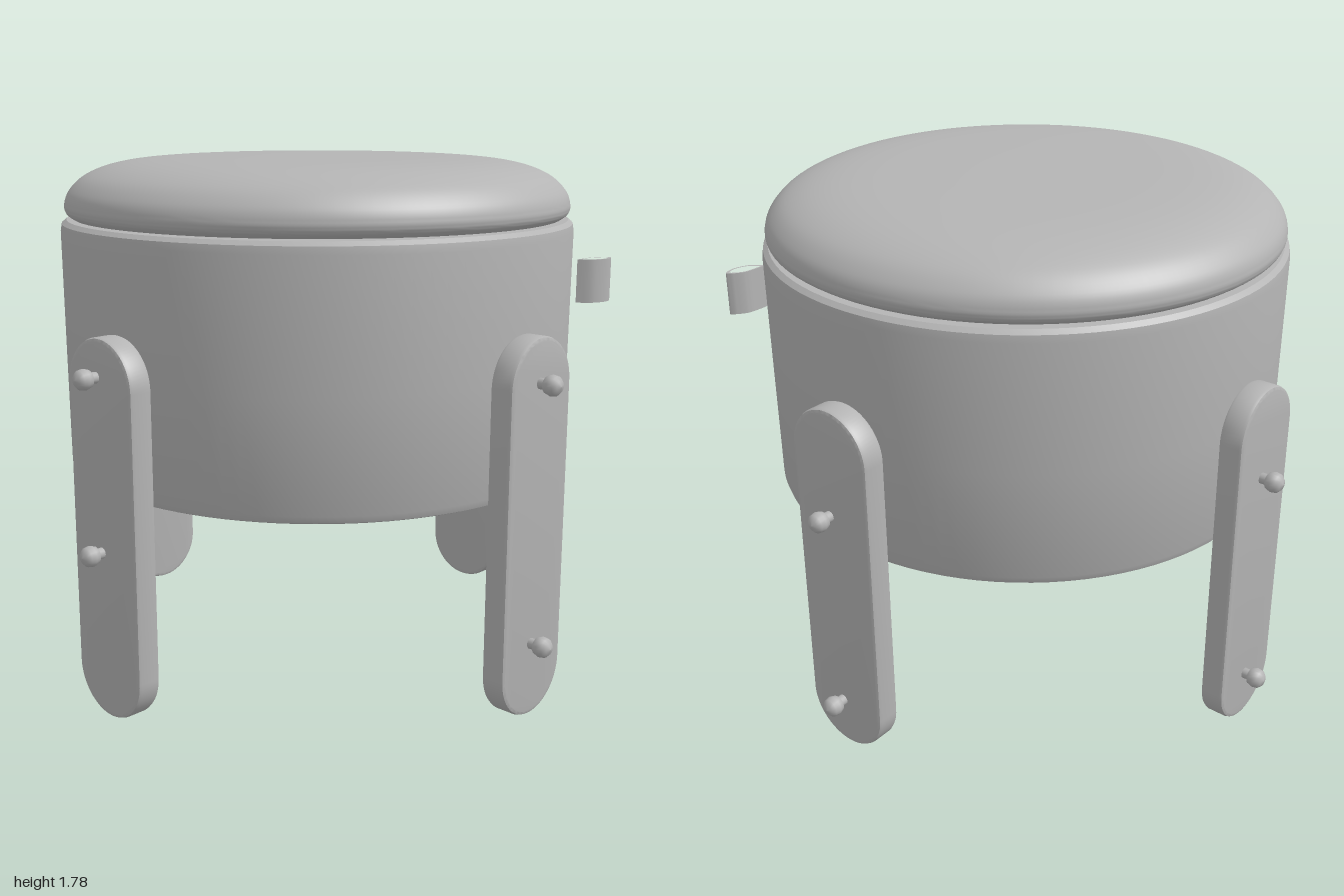
import * as THREE from 'three';
import { toCreasedNormals } from 'three/addons/utils/BufferGeometryUtils.js';

const v2 = (p) => p.map(([x, y]) => new THREE.Vector2(x, y));

export function createModel() {
  const model = new THREE.Group();
  const grey = new THREE.MeshStandardMaterial({ color: 0xb4b4b4 });
  grey.name = 'plain grey';

  const add = (parent, name, geometry, x = 0, y = 0, z = 0) => {
    const mesh = new THREE.Mesh(geometry, grey);
    mesh.name = name;
    mesh.position.set(x, y, z);
    parent.add(mesh);
    return mesh;
  };

  // Round drum with slightly softened rims
  const drum = new THREE.LatheGeometry(v2([
    [0, 0.71], [0.855, 0.71], [0.872, 0.717], [0.88, 0.74], [0.884, 1.1],
    [0.888, 1.53], [0.884, 1.555], [0.868, 1.568], [0, 1.568],
  ]), 96);
  add(model, 'drum', toCreasedNormals(drum, 0.6));

  // Padded seat, bulging at the rim and nearly flat on top
  const padCurve = new THREE.SplineCurve(v2([
    [0.845, 1.572], [0.868, 1.59], [0.873, 1.62], [0.855, 1.665], [0.8, 1.715],
    [0.7, 1.752], [0.55, 1.771], [0.3, 1.778], [0, 1.78],
  ]));
  const padProfile = [new THREE.Vector2(0, 1.572), ...padCurve.getPoints(40)];
  padProfile[padProfile.length - 1].x = 0;
  add(model, 'cushion', toCreasedNormals(new THREE.LatheGeometry(padProfile, 96), 0.7));

  // Leg plank: rounded ends, bevelled edges, outward along local z
  const bevel = 0.012, r = 0.157 - bevel, top = 1.255 - 0.157, bottom = 0.157;
  const outline = new THREE.Shape();
  outline.absarc(0, top, r, 0, Math.PI, false);
  outline.absarc(0, bottom, r, Math.PI, Math.PI * 2, false);
  outline.closePath();
  const plank = toCreasedNormals(new THREE.ExtrudeGeometry(outline, {
    depth: 0.084 - 2 * bevel, bevelEnabled: true, bevelSize: bevel,
    bevelThickness: bevel, bevelSegments: 2, curveSegments: 20,
  }).translate(0, 0, bevel), 0.5);

  // Rounded bolt: short stem ending in a ball
  const bolt = new THREE.LatheGeometry(v2([
    [0, -0.05], [0.018, -0.05], [0.018, 0.015], [0.028, 0.022], [0.034, 0.04],
    [0.031, 0.058], [0.019, 0.07], [0, 0.075],
  ]), 20).rotateX(Math.PI / 2);

  // Four legs round the drum, each with its own bolt heights
  const legs = [
    ['frontLeg', [1.13, 0.56]], ['leftLeg', [1.11, 0.25]],
    ['backLeg', [0.885, 0.17]], ['rightLeg', [0.945, 0.175]],
  ];
  legs.forEach(([name, heights], i) => {
    const leg = new THREE.Group();
    leg.name = name;
    leg.rotation.y = -0.368 + i * Math.PI / 2;
    add(leg, 'plank', plank, 0, 0, 0.887);
    heights.forEach((y) => add(leg, 'bolt', bolt, -0.012, y, 0.975));
    model.add(leg);
  });

  // Small upright fabric loop on the left side
  const loop = new THREE.SplineCurve(v2([
    [0.875, 0.235], [0.893, 0.285], [0.915, 0.325], [0.965, 0.353],
    [0.967, 0.305], [0.93, 0.255], [0.875, 0.235],
  ])).getPoints(36);
  const centre = new THREE.Vector2(0.928, 0.3);
  const inner = loop.map((p) => p.clone().sub(centre).multiplyScalar(0.78).add(centre));
  const band = new THREE.Shape(loop);
  band.holes.push(new THREE.Path(inner));
  const tab = new THREE.ExtrudeGeometry(band, { depth: 0.15, bevelEnabled: false });
  add(model, 'pullLoop', toCreasedNormals(tab.rotateX(-Math.PI / 2), 0.6), 0, 1.277, 0);

  return model;
}
